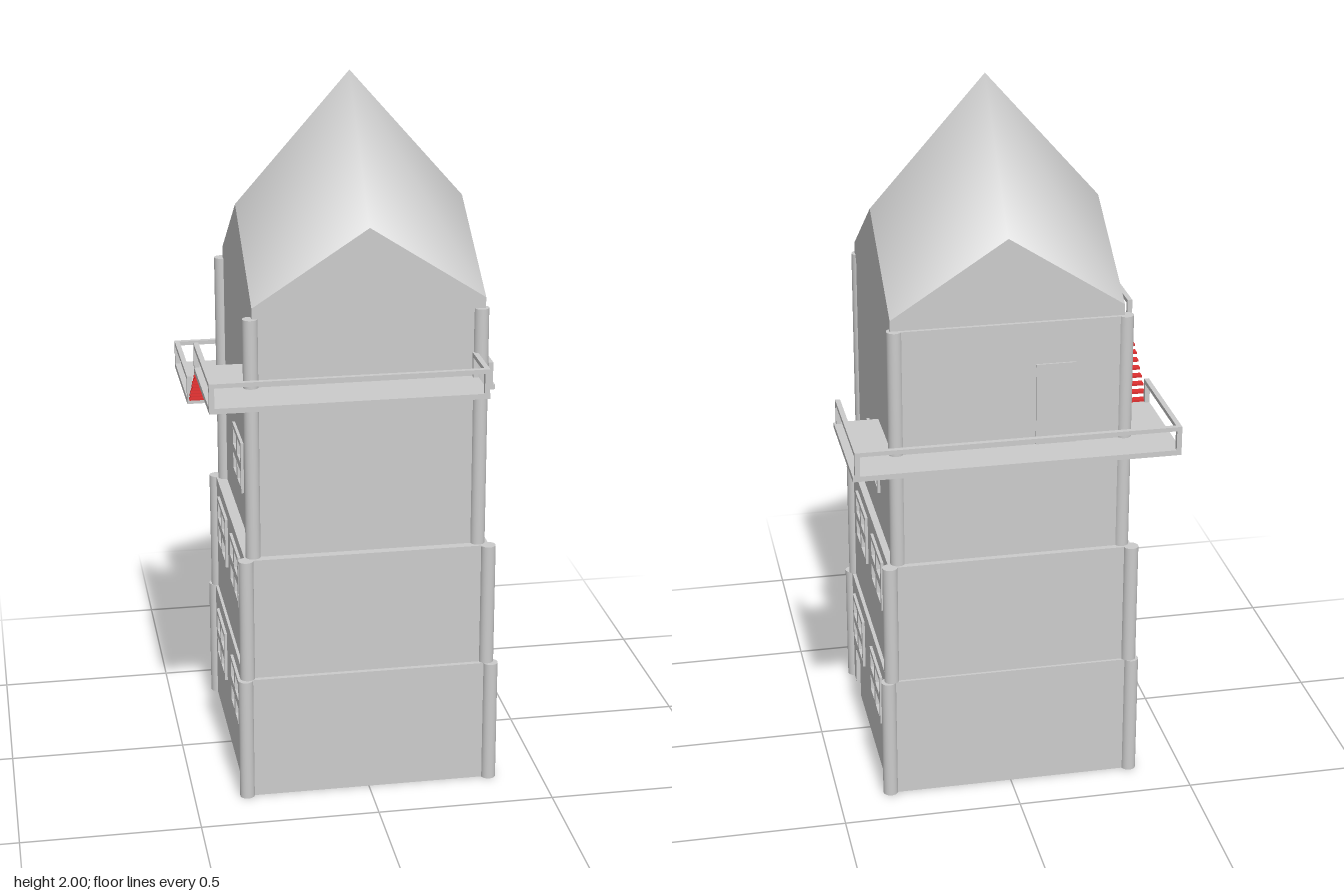
import * as THREE from 'three';

const grey = new THREE.MeshStandardMaterial({ color: 0xcccccc, side: THREE.DoubleSide });
const red = new THREE.MeshStandardMaterial({ color: 0xe03030, side: THREE.DoubleSide });

function add(parent, name, geometry, material = grey) {
  const mesh = new THREE.Mesh(geometry, material);
  mesh.name = name;
  parent.add(mesh);
  return mesh;
}

// Box given by its lower and upper limits
function block(parent, name, [x0, y0, z0], [x1, y1, z1], material) {
  const g = new THREE.BoxGeometry(x1 - x0, y1 - y0, z1 - z0);
  g.translate((x0 + x1) / 2, (y0 + y1) / 2, (z0 + z1) / 2);
  return add(parent, name, g, material);
}

const poly = (pts, Type = THREE.Shape) => new Type(pts.map(p => new THREE.Vector2(...p)));
const rect = (a, b, c, d, Type) => poly([[a, b], [c, b], [c, d], [a, d]], Type);
const extrude = (shape, depth) => new THREE.ExtrudeGeometry(shape, { depth, bevelEnabled: false });

// Wall thickness, frame projection and window half sizes
const T = 0.03, PROUD = 0.008, WW = 0.095, WH = 0.075;

// Four-pane window frame lying in a side wall
function windowFrame(parent, x, y, z) {
  const s = rect(-WW, -WH, WW, WH);
  for (const u of [-0.046, 0.046])
    for (const v of [-0.037, 0.037])
      s.holes.push(rect(u - 0.036, v - 0.024, u + 0.036, v + 0.024, THREE.Path));
  const g = extrude(s, T + 2 * PROUD);
  g.rotateY(Math.PI / 2);
  g.translate(x - PROUD, y, z);
  add(parent, 'windowFrame', g);
}

// Side wall in the zy plane with window and door openings
function sideWall(parent, t, x, door) {
  const s = door
    ? poly([[-t.z1, t.y0], [-0.28, t.y0], [-0.28, 0.11], [-0.27, 0.12], [-0.2, 0.12],
      [-0.19, 0.11], [-0.19, t.y0], [-t.z0, t.y0], [-t.z0, t.y1], [-t.z1, t.y1]])
    : rect(-t.z1, t.y0, -t.z0, t.y1);
  for (const [z, y] of t.windows) {
    s.holes.push(rect(-z - WW + 0.005, y - WH + 0.005, -z + WW - 0.005, y + WH - 0.005, THREE.Path));
    windowFrame(parent, x, y, z);
  }
  const g = extrude(s, T);
  g.rotateY(Math.PI / 2);
  g.translate(x, 0, 0);
  add(parent, 'sideWall', g);
}

// One storey: four walls and four round corner pilasters
function tier(parent, name, t) {
  const group = new THREE.Group();
  group.name = name;
  parent.add(group);
  sideWall(group, t, t.x1 - T, t.door);
  sideWall(group, t, t.x0, false);
  block(group, 'frontWall', [t.x0 + T, t.y0, t.z1 - T], [t.x1 - T, t.y1, t.z1]);
  block(group, 'backWall', [t.x0 + T, t.y0, t.z0], [t.x1 - T, t.y1, t.z0 + T]);
  for (const x of t.px)
    for (const z of t.pz) {
      const g = new THREE.CylinderGeometry(0.021, 0.021, t.y1 - t.y0, 20);
      g.translate(x, (t.y0 + t.y1) / 2, z);
      add(group, 'cornerPilaster', g);
    }
  // Ceiling with a stair opening
  const s = rect(t.x0 + T, -t.z1 + T, t.x1 - T, -t.z0 - T);
  s.holes.push(rect(-0.12, -0.2, 0.12, 0.2, THREE.Path));
  const g = extrude(s, 0.012);
  g.rotateX(-Math.PI / 2);
  g.translate(0, t.y1 - 0.013, 0);
  add(group, 'ceiling', g);
}

// Balcony: flat deck from an xz outline, with a rail along a path
function balcony(parent, name, y, outline, path) {
  const group = new THREE.Group();
  group.name = name;
  parent.add(group);
  const deck = extrude(poly(outline.map(([x, z]) => [x, -z])), 0.015);
  deck.rotateX(-Math.PI / 2);
  deck.translate(0, y, 0);
  add(group, 'deck', deck);
  const r = 0.007, top = y + 0.083;
  path.forEach(([x, z], i) => {
    block(group, 'railPost', [x - r, y + 0.015, z - r], [x + r, top - 0.012, z + r]);
    if (!i) return;
    const [a, b] = path[i - 1];
    block(group, 'handrail', [Math.min(x, a) - r, top - 0.012, Math.min(z, b) - r],
      [Math.max(x, a) + r, top, Math.max(z, b) + r]);
  });
}

// Open stair with thin treads on one central stringer, from (y0,z0) up to (y1,z1)
function stair(parent, name, x0, x1, y0, z0, y1, z1, n) {
  const group = new THREE.Group();
  group.name = name;
  parent.add(group);
  const run = Math.abs(z1 - z0) / n;
  for (let i = 0; i < n; i++) {
    const f = (i + 0.5) / n;
    const y = y0 + (y1 - y0) * f, z = z0 + (z1 - z0) * f;
    block(group, 'tread', [x0, y - 0.003, z - run * 0.52], [x1, y + 0.003, z + run * 0.52], red);
  }
  const g = extrude(poly([[-z0, y0 - 0.015], [-z1, y1 - 0.015], [-z1, y1], [-z0, y0]]), 0.01);
  g.rotateY(Math.PI / 2);
  g.translate((x0 + x1) / 2 - 0.005, 0, 0);
  add(group, 'stringer', g, red);
}

export function createModel() {
  const model = new THREE.Group();
  model.name = 'tower';

  tier(model, 'lowerStorey', {
    x0: -0.353, x1: 0.353, z0: -0.37, z1: 0.342, y0: 0, y1: 0.36, door: true,
    px: [-0.35, 0.35], pz: [-0.364, 0.338], windows: [[0.167, 0.242], [-0.168, 0.242]],
  });
  tier(model, 'middleStorey', {
    x0: -0.345, x1: 0.343, z0: -0.362, z1: 0.328, y0: 0.36, y1: 0.715,
    px: [-0.343, 0.34], pz: [-0.358, 0.325], windows: [[0.127, 0.606], [-0.166, 0.606]],
  });
  tier(model, 'upperStorey', {
    x0: -0.315, x1: 0.324, z0: -0.345, z1: 0.303, y0: 0.715, y1: 1.4,
    px: [-0.319, 0.314], pz: [-0.334, 0.299], windows: [[-0.008, 0.897]],
  });
  block(model, 'backDoor', [-0.18, 1.046, -0.35], [-0.07, 1.28, -0.344]);

  // Roof: eight smooth facets over four gables
  const roof = new THREE.Group();
  roof.name = 'roof';
  roof.position.set(0.005, 0, -0.015);
  model.add(roof);
  const H = 0.32, pos = [0, 2, 0], index = [];
  for (let i = 0; i < 8; i++) {
    const a = i * Math.PI / 4, r = i % 2 ? H * Math.SQRT2 : H;
    pos.push(r * Math.cos(a), i % 2 ? 1.43 : 1.637, -r * Math.sin(a));
    index.push(0, i + 1, (i + 1) % 8 + 1);
  }
  const cover = new THREE.BufferGeometry();
  cover.setAttribute('position', new THREE.Float32BufferAttribute(pos, 3));
  cover.setIndex(index);
  cover.computeVertexNormals();
  add(roof, 'roofCover', cover);
  for (let i = 0; i < 4; i++) {
    const g = new THREE.ShapeGeometry(poly([[-H, 1.39], [H, 1.39], [H, 1.43], [0, 1.637], [-H, 1.43]]));
    g.translate(0, 0, H);
    g.rotateY(i * Math.PI / 2);
    add(roof, 'gable', g);
  }

  // Balconies wrap opposite corners at two heights
  balcony(model, 'upperBalcony', 1.193,
    [[-0.45, 0.09], [-0.45, 0.46], [0.305, 0.46], [0.305, 0.29], [-0.3, 0.29], [-0.3, 0.09]],
    [[-0.443, 0.097], [-0.443, 0.453], [0.297, 0.453], [0.297, 0.312]]);
  balcony(model, 'lowerBalcony', 1.03,
    [[-0.45, -0.11], [-0.3, -0.11], [-0.3, -0.33], [0.31, -0.33], [0.31, -0.09], [0.45, -0.09],
      [0.45, -0.46], [-0.45, -0.46]],
    [[-0.443, -0.117], [-0.443, -0.453], [0.437, -0.453], [0.437, -0.097]]);

  // Outside stair joins the balconies; inside stairs climb each storey
  stair(model, 'outsideStair', -0.445, -0.315, 1.04, -0.115, 1.2, 0.092, 10);
  stair(model, 'lowerStair', -0.06, 0.06, 0.1, 0.08, 0.28, -0.1, 9);
  block(model, 'lowerLanding', [-0.1, 0.262, -0.26], [0.1, 0.268, -0.1], red);
  stair(model, 'middleStair', -0.06, 0.06, 0.42, -0.14, 0.66, 0.13, 12);
  block(model, 'middleLanding', [-0.1, 0.657, 0.13], [0.1, 0.663, 0.25], red);
  stair(model, 'upperStair', -0.06, 0.06, 0.76, -0.18, 1.03, 0.17, 14);
  return model;
}
